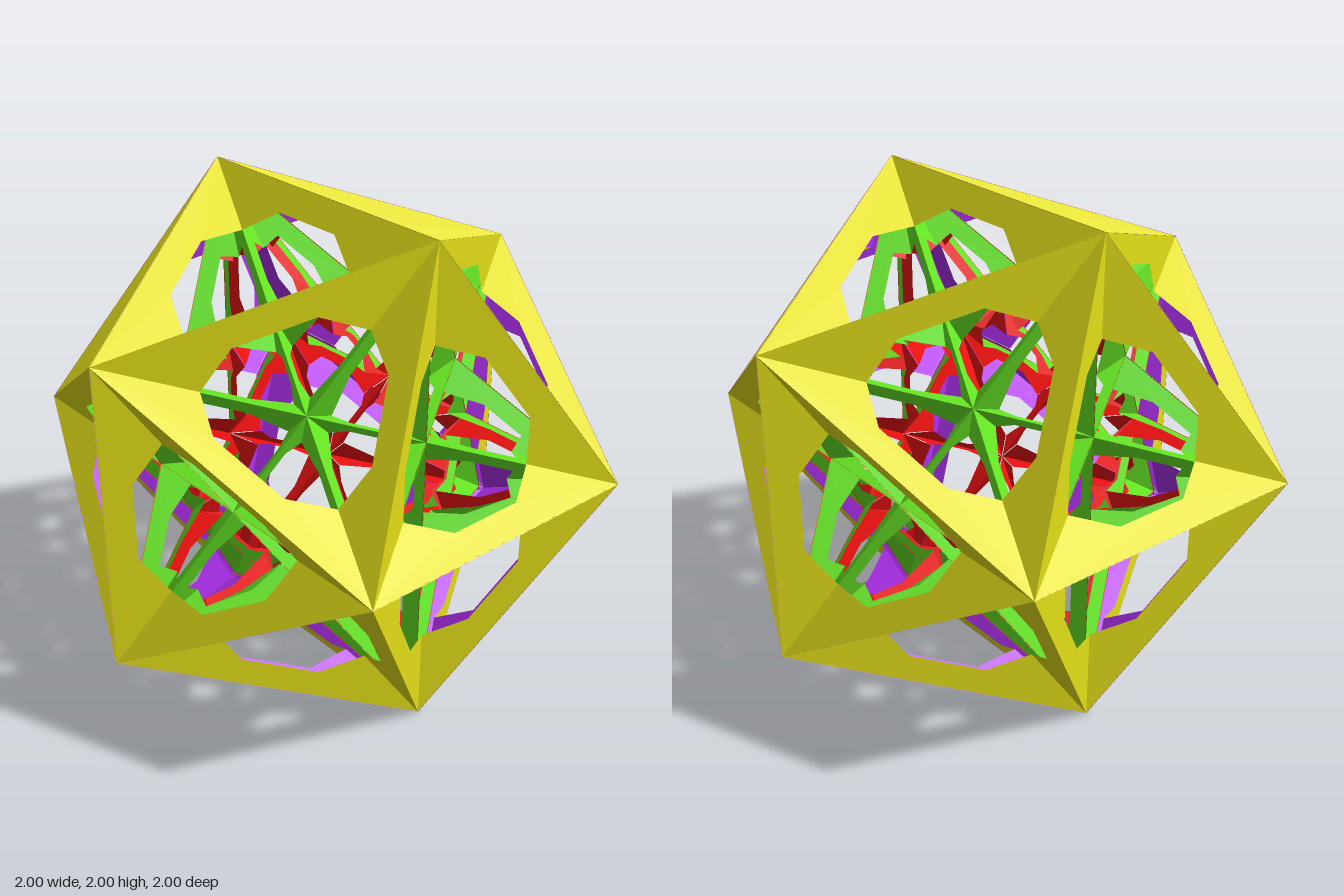
import * as THREE from 'three';

const PHI = (1 + Math.sqrt(5)) / 2;
const LINING = 0.002;

// The twelve corners shared by both star shells
function corners() {
  const list = [];
  for (const a of [-1, 1]) for (const b of [-1 / PHI, 1 / PHI]) {
    list.push(new THREE.Vector3(0, a, b), new THREE.Vector3(a, b, 0), new THREE.Vector3(b, 0, a));
  }
  return list;
}

const mix = (a, b, t) => a.clone().lerp(b, t);
const near = (a, b, dist) => Math.abs(a.distanceTo(b) - dist) < 0.01;

// Collects flat polygons: an outer skin and a lining just behind it
class Skin {
  constructor() {
    this.outer = [];
    this.inner = [];
  }

  // Convex polygon facing along the normal
  add(points, normal) {
    const turn = points[1].clone().sub(points[0]).cross(points[2].clone().sub(points[0]));
    const p = turn.dot(normal) > 0 ? points : [...points].reverse();
    const back = p.map(q => q.clone().addScaledVector(normal, -LINING));
    for (let i = 1; i < p.length - 1; i++) {
      this.outer.push(p[0], p[i], p[i + 1]);
      this.inner.push(back[0], back[i + 1], back[i]);
    }
  }

  // Facet a-b-apex whose window opens towards the apex, leaving a rim on the ridge a-b
  addRim(a, b, apex, normal) {
    const mid = mix(a, b, 0.5);
    const ma = mix(a, apex, 0.5), mb = mix(b, apex, 0.5);
    const pa = mix(ma, mid, 0.5), pb = mix(mb, mid, 0.5);
    this.add([a, b, pb, pa], normal);
    this.add([a, pa, ma], normal);
    this.add([b, mb, pb], normal);
  }

  build(name, outerColor, innerColor) {
    const group = new THREE.Group();
    group.name = name;
    const layers = [['outerSkin', this.outer, outerColor], ['innerLining', this.inner, innerColor]];
    for (const [part, points, color] of layers) {
      const geometry = new THREE.BufferGeometry().setFromPoints(points);
      geometry.computeVertexNormals();
      const mesh = new THREE.Mesh(geometry, new THREE.MeshStandardMaterial({ color, flatShading: true }));
      mesh.name = part;
      group.add(mesh);
    }
    return group;
  }
}

// Outer star: five windowed dimple walls on each of twelve pentagon planes
function dimpledShell(verts) {
  const skin = new Skin();
  const edge = 2 / PHI;
  for (const v of verts) {
    const ring = verts.filter(w => near(v, w, edge));
    const centre = ring.reduce((sum, w) => sum.add(w), new THREE.Vector3()).divideScalar(5);
    const normal = v.clone().normalize();
    ring.forEach((a, i) => ring.slice(i + 1).forEach(b => {
      if (near(a, b, edge)) skin.addRim(a, b, mix(mix(a, b, 0.5), centre, 0.5279), normal);
    }));
  }
  return skin.build('dimpledShell', 0xe2de18, 0xb030f0);
}

// Inner star: twenty large interlocking triangles, only their exposed facets
function innerStar(verts) {
  const skin = new Skin();
  const addTriangle = tri => {
    const centre = tri.reduce((sum, p) => sum.add(p), new THREE.Vector3()).divideScalar(3);
    const normal = centre.clone().normalize();
    tri.forEach((p, s) => {
      const q = tri[(s + 1) % 3];
      const inward = centre.clone().sub(mix(p, q, 0.5)).normalize();
      const at = (along, depth) => mix(p, q, along).addScaledVector(inward, depth);
      // Ridges cross at the golden sections of each side
      const d1 = at(0.382, 0), d2 = at(0.618, 0);
      skin.addRim(p, d1, at(0.3618, 0.296), normal);
      skin.addRim(d1, d2, at(0.5, 0.183), normal);
      skin.addRim(d2, q, at(0.6382, 0.296), normal);
    });
  };
  verts.forEach((a, i) => verts.slice(i + 1).forEach((b, j) => {
    if (!near(a, b, 2)) return;
    for (const c of verts.slice(i + j + 2)) {
      if (near(a, c, 2) && near(b, c, 2)) addTriangle([a, b, c]);
    }
  }));
  const star = skin.build('innerStar', 0x66e624, 0xee1111);
  star.scale.setScalar(0.97);
  return star;
}

export function createModel() {
  const verts = corners();
  const model = new THREE.Group();
  model.name = 'nestedStarPolyhedron';
  model.add(dimpledShell(verts), innerStar(verts));
  model.children.forEach(part => { part.position.y = 1; });
  return model;
}
